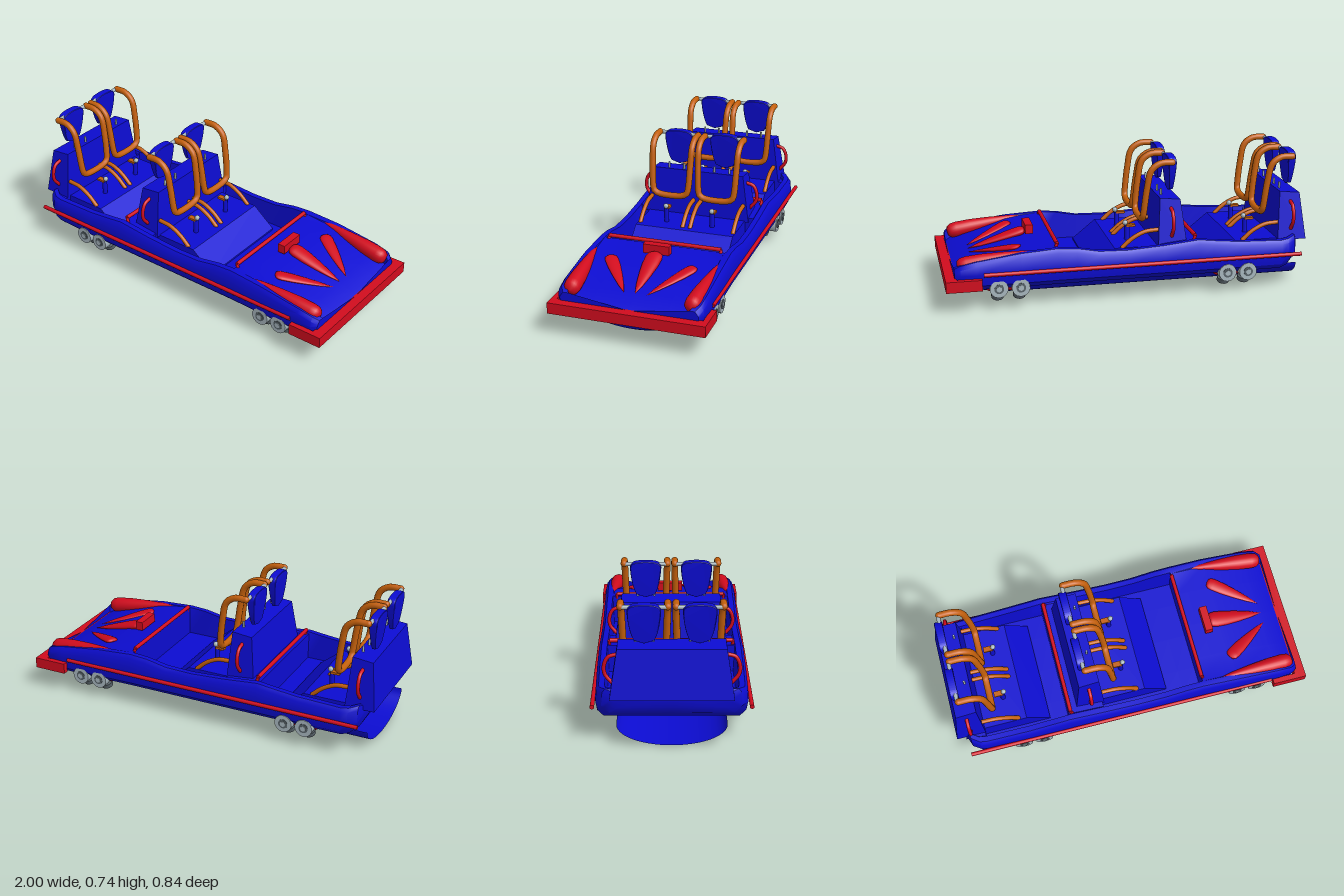
import * as THREE from 'three';
import { toCreasedNormals } from 'three/addons/utils/BufferGeometryUtils.js';

const V = (x, y, z) => new THREE.Vector3(x, y, z);
const material = (name, color, side = THREE.FrontSide) => {
  const m = new THREE.MeshStandardMaterial({ color, side });
  m.name = name;
  return m;
};

export function createModel() {
  const blue = material('blue paint', 0x0c0cd2, THREE.DoubleSide);
  const red = material('red paint', 0xd20c1e);
  const orange = material('orange padding', 0xc4600c);
  const steel = material('light steel', 0xa9b8c0);
  const dark = material('dark steel', 0x59646b);
  const model = new THREE.Group();
  model.name = 'coasterCar';

  const add = (name, geo, mat, x = 0, y = 0, z = 0, parent = model) => {
    const m = new THREE.Mesh(geo, mat);
    m.name = name;
    m.position.set(x, y, z);
    parent.add(m);
    return m;
  };
  const box = (name, mat, w, h, d, x, y, z, parent) =>
    add(name, new THREE.BoxGeometry(w, h, d), mat, x, y, z, parent);
  const rod = (name, mat, a, b, r, parent) => {
    const m = add(name, new THREE.CylinderGeometry(r, r, a.distanceTo(b), 14), mat, 0, 0, 0, parent);
    m.position.copy(a).lerp(b, 0.5);
    m.quaternion.setFromUnitVectors(V(0, 1, 0), b.clone().sub(a).normalize());
    return m;
  };
  const tube = (name, mat, pts, r, parent) => {
    add(name, new THREE.TubeGeometry(new THREE.CatmullRomCurve3(pts), 48, r, 12), mat, 0, 0, 0, parent);
    for (const p of [pts[0], pts[pts.length - 1]])
      add(name + 'End', new THREE.SphereGeometry(r, 12, 8), mat, p.x, p.y, p.z, parent);
  };
  // Skin over closed rings of points, with optional flat ends
  const loft = (rings, capped) => {
    const n = rings[0].length, pos = [];
    const tri = (...ps) => ps.forEach((p) => pos.push(p.x, p.y, p.z));
    for (let i = 0; i + 1 < rings.length; i++)
      for (let j = 0; j < (capped ? n : n - 1); j++) {
        const k = (j + 1) % n, A = rings[i], B = rings[i + 1];
        tri(A[j], B[j], B[k]);
        tri(A[j], B[k], A[k]);
      }
    if (capped)
      for (const end of [0, rings.length - 1]) {
        const R = rings[end], c = V(0, 0, 0);
        R.forEach((p) => c.addScaledVector(p, 1 / n));
        R.forEach((p, j) => (end ? tri(c, R[(j + 1) % n], p) : tri(c, p, R[(j + 1) % n])));
      }
    const g = new THREE.BufferGeometry();
    g.setAttribute('position', new THREE.Float32BufferAttribute(pos, 3));
    return toCreasedNormals(g, 0.6);
  };
  // Blunt at "from", pointed at "to"; thickness is the ratio across the surface
  const teardrop = (name, from, to, r, thickness) => {
    const L = from.distanceTo(to);
    const prof = [[0, 0], [0.6, 0.012], [0.9, 0.05], [1, 0.12], [0.95, 0.3], [0.72, 0.55], [0.4, 0.8], [0, 1]]
      .map(([a, b]) => new THREE.Vector2(a * r, b * L));
    const m = add(name, new THREE.LatheGeometry(prof, 24), red);
    const dir = to.clone().sub(from).normalize();
    const side = V(0, 1, 0).cross(dir).normalize();
    m.quaternion.setFromRotationMatrix(new THREE.Matrix4().makeBasis(side, dir, side.clone().cross(dir)));
    m.scale.z = thickness;
    m.position.copy(from);
  };

  // Body tub: x, half width, bottom, rim height, inner floor or deck height
  const stations = [
    [-0.945, 0.3, 0.2, 0.275, 0.265], [-0.925, 0.35, 0.16, 0.29, 0.265], [-0.88, 0.38, 0.125, 0.28, 0.26],
    [-0.84, 0.385, 0.11, 0.275, 0.26], [-0.84, 0.385, 0.11, 0.275, 0.15], [-0.6, 0.39, 0.11, 0.285, 0.15],
    [-0.45, 0.39, 0.11, 0.3, 0.15], [-0.37, 0.39, 0.11, 0.31, 0.15], [-0.37, 0.39, 0.11, 0.31, 0.3],
    [-0.17, 0.39, 0.11, 0.29, 0.28], [-0.17, 0.39, 0.11, 0.29, 0.15], [0.02, 0.39, 0.11, 0.278, 0.15],
    [0.18, 0.39, 0.11, 0.282, 0.15], [0.3, 0.39, 0.11, 0.305, 0.15], [0.4, 0.39, 0.11, 0.312, 0.15],
    [0.4, 0.39, 0.11, 0.312, 0.31], [0.6, 0.395, 0.11, 0.3, 0.29], [0.84, 0.395, 0.11, 0.268, 0.225],
    [0.92, 0.39, 0.11, 0.25, 0.195], [0.95, 0.37, 0.11, 0.23, 0.18],
  ];
  add('body', loft(stations.map(([x, w, b, t, f]) => {
    const half = [[0, b], [w - 0.04, b], [w - 0.01, b + 0.03], [w, Math.max(0.2, b + 0.04)], [w - 0.005, t - 0.02],
      [w - 0.02, t], [w - 0.05, t], [w - 0.057, f], [0.2, f], [0, f]];
    const mirror = half.slice(1, -1).reverse().map(([z, y]) => [-z, y]);
    return [...half, ...mirror].map(([z, y]) => V(x, y, z));
  }), true), blue);

  // Round-bottomed hull, closing upward at the nose
  const hull = [];
  for (let i = 0; i <= 13; i++) {
    const t = Math.max(0, i - 1) / 12, s = Math.sqrt(Math.max(0, 1 - t * t));
    const x = i === 0 ? -0.96 : 0.6 + 0.35 * t, ring = [];
    for (let j = 0; j <= 28; j++) {
      const a = -Math.PI / 2 + (Math.PI * j) / 28;
      ring.push(V(x, 0.112 - 0.112 * s * Math.cos(a), 0.275 * Math.sqrt(s) * Math.sin(a)));
    }
    hull.push(ring);
  }
  add('hull', loft(hull, false), blue);

  // Bumper
  box('bumper', red, 0.06, 0.06, 0.84, 0.97, 0.153, 0);
  for (const s of [1, -1]) box('bumperWing', red, 0.15, 0.06, 0.03, 0.885, 0.153, s * 0.405);

  // Hood ornaments and lamps
  box('hoodBlock', red, 0.042, 0.05, 0.145, 0.514, 0.337, 0);
  teardrop('centrePetal', V(0.53, 0.318, 0), V(0.85, 0.227, 0), 0.046, 0.5);
  for (const s of [1, -1]) {
    teardrop('sidePetal', V(0.59, 0.296, s * 0.235), V(0.85, 0.227, s * 0.06), 0.036, 0.4);
    teardrop('headlamp', V(0.935, 0.235, s * 0.32), V(0.49, 0.3, s * 0.345), 0.044, 1);
    rod('sideRail', red, V(-0.945, 0.2, s * 0.395), V(0.8, 0.2, s * 0.395), 0.011);
  }

  // Grab bars across the dashes
  for (const [x, w] of [[-0.357, 0.33], [0.4, 0.315]]) {
    rod('grabBar', red, V(x, 0.325, -w), V(x, 0.325, w), 0.011);
    for (const z of [-w, w]) rod('grabBarFoot', red, V(x, 0.325, z), V(x + 0.01, 0.29, z), 0.009);
  }

  const extrudeXY = (pts, halfWidth) => new THREE.ExtrudeGeometry(
    new THREE.Shape(pts.map(([x, y]) => new THREE.Vector2(x, y))),
    { depth: 2 * halfWidth, bevelEnabled: false }).translate(0, 0, -halfWidth);

  // Two seat rows
  for (const dx of [0, 0.68]) {
    const row = new THREE.Group();
    row.name = 'seatRow';
    row.position.x = dx;
    model.add(row);

    // Backrest narrows toward the top
    const back = extrudeXY([[-1, 0.258], [-0.838, 0.258], [-0.855, 0.526], [-0.968, 0.515]], 0.307);
    const p = back.attributes.position;
    for (let i = 0; i < p.count; i++) p.setZ(i, p.getZ(i) * (1 - 0.5 * (p.getY(i) - 0.258)));
    back.computeVertexNormals();
    add('backrest', back, blue, 0, 0, 0, row);
    add('seatBase', extrudeXY([[-0.85, 0.14], [-0.47, 0.14], [-0.47, 0.16], [-0.6, 0.265], [-0.85, 0.265]], 0.285),
      blue, 0, 0, 0, row);

    for (const s of [1, -1]) {
      tube('sideHandle', red, [[0.47, 0.265], [0.455, 0.312], [0.41, 0.333], [0.365, 0.329], [0.32, 0.295]]
        .map(([y, z]) => V(-0.915, y, s * z)), 0.01, row);

      const seat = new THREE.Group();
      seat.name = 'seat';
      seat.position.z = s * 0.135;
      row.add(seat);

      // Shield-shaped headrest on two posts
      const shape = new THREE.Shape();
      shape.moveTo(0, 0.536);
      shape.lineTo(0.05, 0.552);
      shape.quadraticCurveTo(0.075, 0.6, 0.083, 0.7);
      shape.quadraticCurveTo(0.083, 0.727, 0.05, 0.734);
      shape.quadraticCurveTo(0, 0.742, -0.05, 0.734);
      shape.quadraticCurveTo(-0.083, 0.727, -0.083, 0.7);
      shape.quadraticCurveTo(-0.075, 0.6, -0.05, 0.552);
      const head = new THREE.ExtrudeGeometry(shape, { depth: 0.03, bevelSize: 0.004, bevelThickness: 0.007, bevelOffset: -0.004, bevelSegments: 2, curveSegments: 8 });
      head.rotateY(-Math.PI / 2);
      const hp = head.attributes.position;
      for (let i = 0; i < hp.count; i++)
        hp.setX(i, (hp.getX(i) + 0.015) * Math.min(1, 0.4 + (hp.getY(i) - 0.536) * 4));
      head.computeVertexNormals();
      add('headrest', head, blue, -0.937, 0, 0, seat);
      for (const z of [-0.045, 0.045]) rod('headrestPost', steel, V(-0.88, 0.5, z), V(-0.88, 0.557, z), 0.006, seat);
      rod('harnessHinge', steel, V(-0.93, 0.717, -0.115), V(-0.93, 0.717, 0.115), 0.011, seat);

      // Over-shoulder harness
      const side = [[-0.925, 0.718, 0.115], [-0.86, 0.716, 0.115], [-0.81, 0.68, 0.115], [-0.787, 0.58, 0.112],
        [-0.771, 0.45, 0.105], [-0.768, 0.418, 0.097], [-0.768, 0.402, 0.07]];
      tube('harness', orange, [...side.map((q) => V(...q)),
        ...side.slice().reverse().map(([x, y, z]) => V(x, y, -z))], 0.018, seat);

      // Leg guides and buckle
      for (const z of [-0.113, 0.138])
        tube('legGuide', orange, [V(-0.84, 0.353, s * z), V(-0.77, 0.346, s * z), V(-0.7, 0.312, s * z), V(-0.645, 0.265, s * z)], 0.012, seat);
      rod('buckleStem', blue, V(-0.7, 0.26, 0), V(-0.7, 0.345, 0), 0.014, seat);
      box('bucklePlate', orange, 0.05, 0.012, 0.03, -0.72, 0.345, 0, seat);
      add('buckle', new THREE.SphereGeometry(0.015, 8, 6), steel, -0.69, 0.361, 0, seat);
    }
  }

  // Wheel bogies: a bracket with two road wheels and two tilted guide wheels
  for (const cx of [-0.587, 0.663])
    for (const s of [1, -1]) {
      const bogie = new THREE.Group();
      bogie.name = 'bogie';
      bogie.position.x = cx;
      model.add(bogie);
      const bracket = add('bracket', new THREE.CapsuleGeometry(0.026, 0.19, 6, 14), red, 0, 0.108, s * 0.31, bogie);
      bracket.rotation.z = Math.PI / 2;
      for (const x of [-0.058, 0.058]) {
        rod('wheel', steel, V(x, 0.116, s * 0.342), V(x, 0.116, s * 0.388), 0.049, bogie);
        rod('wheelRing', dark, V(x, 0.116, s * 0.336), V(x, 0.116, s * 0.391), 0.026, bogie);
        rod('wheelHub', steel, V(x, 0.116, s * 0.334), V(x, 0.116, s * 0.394), 0.015, bogie);
        const c = V(x, 0.056, s * 0.3), ax = V(0, 0.94, s * 0.34);
        const at = (d) => c.clone().addScaledVector(ax, d);
        rod('guideWheel', dark, at(-0.013), at(0.013), 0.034, bogie);
        rod('guideWheelHub', steel, at(-0.02), at(0.045), 0.014, bogie);
      }
    }
  return model;
}
